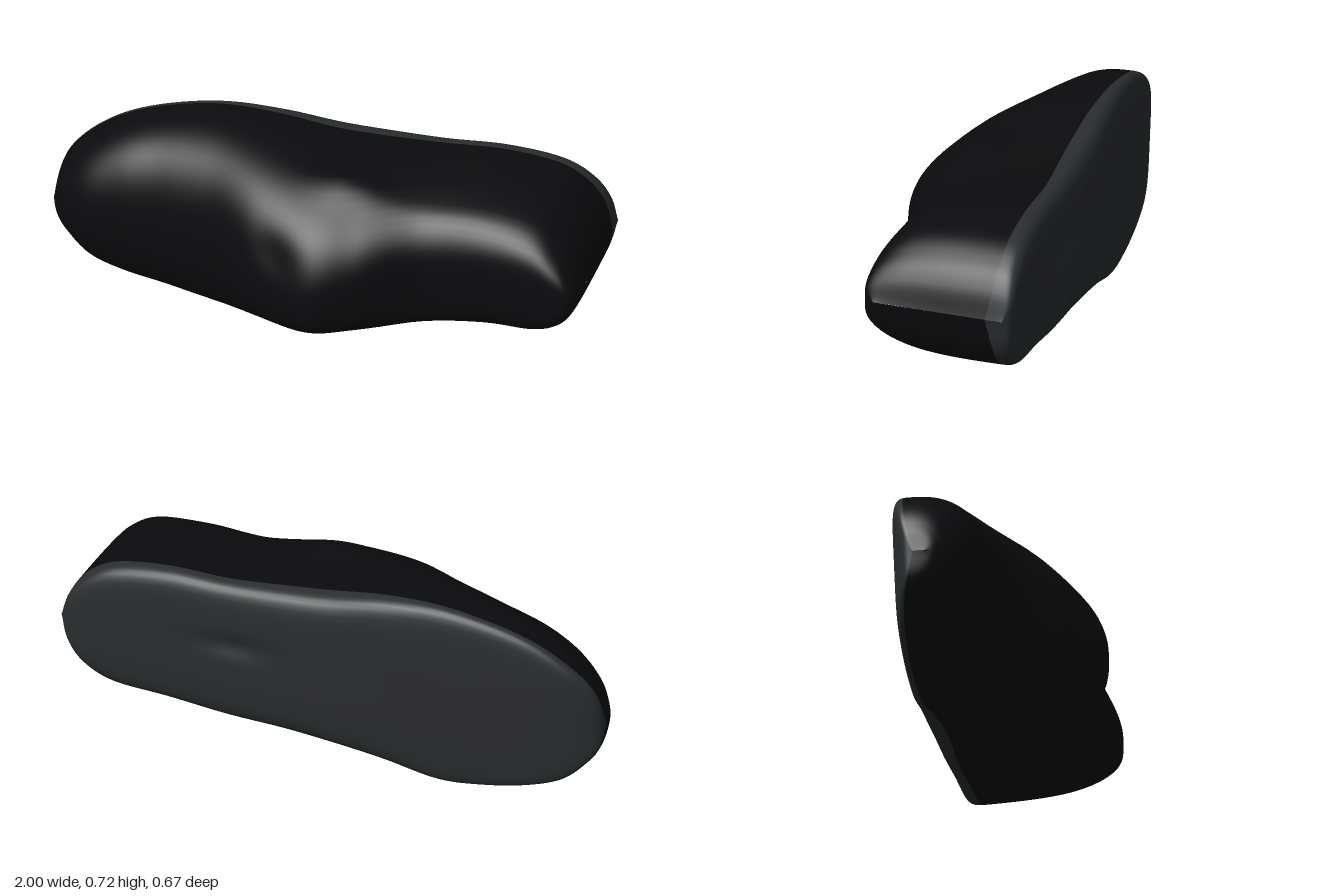
import * as THREE from 'three';

// Stations from toe to heel: [x, top y, bottom y, sole z, front z, front squareness]
const STATIONS = [
  [-1.0, 0.315, 0.315, -0.19, -0.14, 2.0],
  [-0.985, 0.415, 0.225, -0.225, -0.105, 2.1],
  [-0.945, 0.495, 0.165, -0.252, -0.06, 2.2],
  [-0.86, 0.575, 0.09, -0.278, -0.012, 2.4],
  [-0.74, 0.645, 0.045, -0.292, 0.015, 2.5],
  [-0.58, 0.695, 0.015, -0.303, 0.045, 2.5],
  [-0.4, 0.723, 0.004, -0.312, 0.115, 2.5],
  [-0.2, 0.718, 0.045, -0.322, 0.25, 2.5],
  [0.0, 0.692, 0.077, -0.329, 0.338, 2.5],
  [0.17, 0.68, 0.1, -0.33, 0.30, 2.7],
  [0.38, 0.672, 0.118, -0.328, 0.207, 3.3],
  [0.6, 0.678, 0.145, -0.326, 0.203, 3.7],
  [0.8, 0.652, 0.165, -0.325, 0.225, 4.0],
  [0.91, 0.59, 0.218, -0.322, 0.242, 4.0],
  [0.97, 0.51, 0.30, -0.312, 0.238, 4.2],
  [1.0, 0.412, 0.412, -0.285, 0.20, 4.2],
];
const ROWS = 120, SIDES = 96;

const curve = (a, b, c) => new THREE.CatmullRomCurve3(
  STATIONS.map((s) => new THREE.Vector3(s[a], s[b], s[c])), false, 'catmullrom', 0.5);
const bump = (d, w) => Math.exp(-(d * d) / (w * w));

export function createModel() {
  const heights = curve(0, 1, 2), depths = curve(3, 4, 5);
  const positions = [], uppers = [], soles = [];

  for (let i = 0; i <= ROWS; i++) {
    const { x, y: top, z: bottom } = heights.getPoint(i / ROWS);
    const { x: back, y: front, z: square } = depths.getPoint(i / ROWS);
    const midZ = back + (front - back) * 0.2, midY = (top + bottom) / 2;
    const heel = THREE.MathUtils.smoothstep(x, 0.2, 0.7);

    for (let j = 0; j < SIDES; j++) {
      // Rounded section: flat towards the sole, domed towards the front
      const a = (j / SIDES) * Math.PI * 2, c = Math.cos(a), s = Math.sin(a);
      const p = c > 0 ? square : 5;
      const r = Math.pow(Math.abs(c) ** p + Math.abs(s) ** p, -1 / p);
      let z = midZ + r * c * (c > 0 ? front - midZ : midZ - back);
      const taper = 1 - 0.08 * heel * Math.max(0, c * r) ** 2;
      let y = midY + r * s * taper * (top - bottom) / 2;
      if (c > 0) {
        // The instep peaks below mid height, with a soft hollow above its crest
        y -= 0.06 * bump(x, 0.3) * (c * r) ** 4;
        z -= 0.02 * bump(x + 0.12, 0.08) * bump(y - 0.46, 0.08);
        // Collar swelling and the raised collar edge running to the heel
        if (s > 0) {
          y += 0.035 * s * bump(x - 0.1, 0.14) * bump(z - 0.07, 0.08);
          y += 0.012 * s * bump(x - 0.5, 0.3) * bump(z - 0.12, 0.05);
        }
      } else {
        // Sole plane leans back towards its upper edge, with a small arch dent
        z -= 0.04 * (y - 0.4) * Math.abs(c * r);
        z += 0.018 * bump(x - 0.35, 0.13) * bump(y - 0.43, 0.04);
      }
      // The back of the heel leans in towards the collar
      const lean = 0.04 * THREE.MathUtils.smoothstep(x, 0.6, 1) * (z + 0.28) / 0.48;
      positions.push(x - lean, y, z);

      if (i < ROWS) {
        const k = (j + 1) % SIDES, o = i * SIDES, n = o + SIDES;
        const mid = Math.cos(((j + 0.5) / SIDES) * Math.PI * 2);
        (mid < -0.35 ? soles : uppers).push(o + j, n + j, o + k, o + k, n + j, n + k);
      }
    }
  }

  // Shared smooth normals keep the seam between upper and sole invisible
  const whole = new THREE.BufferGeometry();
  whole.setAttribute('position', new THREE.Float32BufferAttribute(positions, 3));
  whole.setIndex([...uppers, ...soles]);
  whole.computeVertexNormals();

  const group = new THREE.Group();
  group.name = 'shoe';
  const addPart = (name, index, color) => {
    const geometry = new THREE.BufferGeometry();
    geometry.setAttribute('position', whole.attributes.position);
    geometry.setAttribute('normal', whole.attributes.normal);
    geometry.setIndex(index);
    const mesh = new THREE.Mesh(geometry, new THREE.MeshStandardMaterial({ color }));
    mesh.name = name;
    group.add(mesh);
  };
  addPart('upper', uppers, 0x0b0b0d);
  addPart('sole', soles, 0x2c2d30);
  return group;
}
